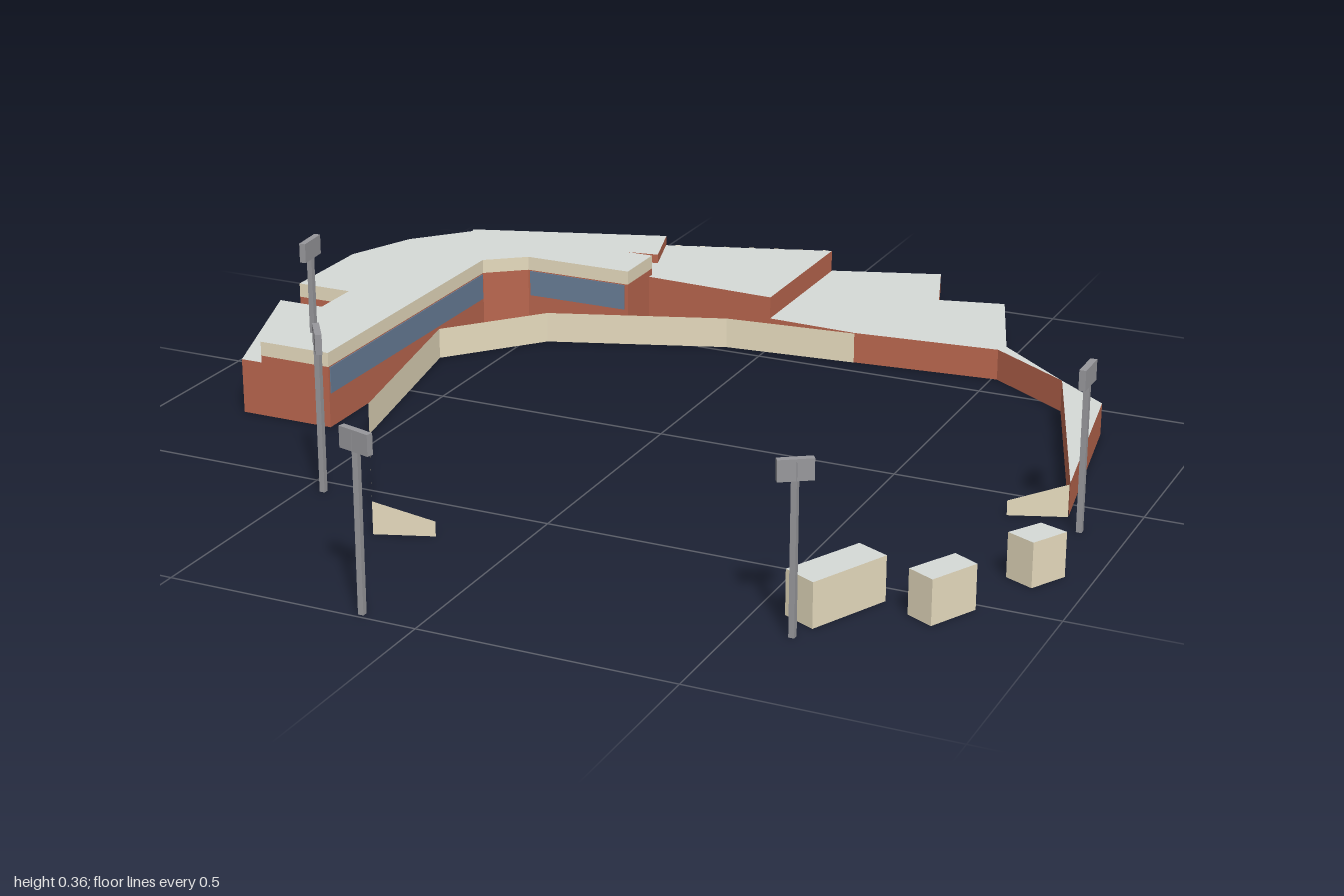
import * as THREE from 'three';

const paint = (name, color, side = THREE.FrontSide) =>
  Object.assign(new THREE.MeshStandardMaterial({ color }), { name, side });

export function createModel() {
  const model = new THREE.Group();
  model.name = 'sportsGround';
  const brick = paint('brick', 0xb9664e, THREE.DoubleSide);
  const cream = paint('cream', 0xe6dbbe, THREE.DoubleSide);
  const roof = paint('roofGrey', 0xd6dad7, THREE.DoubleSide);
  const glass = paint('glassBlue', 0x687d97);
  const metal = paint('metalGrey', 0x98989c);

  const add = (name, geometry, material, parent = model) => {
    const mesh = new THREE.Mesh(geometry, material);
    mesh.name = name;
    parent.add(mesh);
    return mesh;
  };
  const group = (name) => {
    const g = new THREE.Group();
    g.name = name;
    model.add(g);
    return g;
  };

  // Thin standing wall through [x, z, top] points
  const wall = (name, points, y0, material, parent = model) => {
    const pos = [], index = [];
    points.forEach(([x, z, top], i) => {
      pos.push(x, y0, z, x, top, z);
      if (i) index.push(2 * i - 2, 2 * i, 2 * i - 1, 2 * i, 2 * i + 1, 2 * i - 1);
    });
    const geometry = new THREE.BufferGeometry();
    geometry.setAttribute('position', new THREE.Float32BufferAttribute(pos, 3));
    geometry.setIndex(index);
    const flat = geometry.toNonIndexed();
    flat.computeVertexNormals();
    add(name, flat, material, parent);
  };

  // Open-bottomed shell over a plan outline of [x, z] points
  const shell = (name, plan, y0, y1, material, roofed = true) => {
    const parent = group(name);
    wall('walls', [...plan, plan[0]].map(([x, z]) => [x, z, y1]), y0, material, parent);
    if (!roofed) return;
    const shape = new THREE.Shape(plan.map(([x, z]) => new THREE.Vector2(x, -z)));
    add('roof', new THREE.ShapeGeometry(shape).rotateX(-Math.PI / 2).translate(0, y1, 0), roof, parent);
  };

  // Box running along the plan line a-b
  const panel = (name, a, b, y0, y1, thick, material, parent = model) => {
    const dx = b[0] - a[0], dz = b[1] - a[1];
    const mesh = add(name, new THREE.BoxGeometry(Math.hypot(dx, dz), y1 - y0, thick), material, parent);
    mesh.position.set((a[0] + b[0]) / 2, (y0 + y1) / 2, (a[1] + b[1]) / 2);
    mesh.rotation.y = Math.atan2(-dz, dx);
  };

  // West block: brick storey with a cream roof band
  const west = [[-0.9, -0.32], [-0.84, -0.467], [-0.73, -0.59], [-0.297, -0.59], [-0.297, -0.467],
    [-0.54, -0.467], [-0.62, -0.405], [-0.62, 0.25], [-0.778, 0.25], [-0.778, -0.098], [-0.9, -0.098]];
  shell('westBlock', west, 0, 0.13, brick, false);
  shell('westRoofBand', west, 0.13, 0.16, cream);
  shell('westAnnex', [[-0.95, -0.098], [-0.778, -0.098], [-0.778, 0.25], [-0.825, 0.25]], 0, 0.115, brick);
  panel('innerWindow', [-0.62, 0.245], [-0.62, -0.4], 0.072, 0.128, 0.004, glass);
  panel('frontWindow', [-0.535, -0.467], [-0.305, -0.467], 0.072, 0.128, 0.004, glass);
  panel('outerWindow', [-0.9, -0.31], [-0.9, -0.11], 0.072, 0.128, 0.004, glass);

  // North hall, its raised roof slab and the lower east hall
  shell('northHall', [[-0.775, -0.655], [0, -0.917], [0, -0.56], [-0.3, -0.576], [-0.76, -0.598]], 0, 0.115, brick);
  shell('raisedRoof', [[-0.782, -0.66], [-0.36, -0.802], [-0.32, -0.67], [-0.765, -0.598]], 0.115, 0.135, brick);
  shell('eastHall', [[0, -0.92], [0.233, -1], [0.29, -0.83], [0.43, -0.865], [0.522, -0.605],
    [0.512, -0.58], [0.2, -0.55], [0, -0.56]], 0, 0.067, brick);

  // Rear front: bays of glass between cream posts and brick piers
  const facade = group('rearFront');
  const at = (t) => [-0.775 + 0.775 * t, -0.657 - 0.26 * t];
  const bays = 14, step = 0.96 / bays;
  panel('sillRail', at(0.02), at(0.98), 0.03, 0.036, 0.01, cream, facade);
  for (let i = 0; i <= bays; i++) {
    const t = 0.015 + step * i;
    panel('post', at(t), at(t + 0.013), 0, 0.113, 0.018, cream, facade);
    if (i < bays) panel('pane', at(t + 0.013), at(t + step - 0.012), 0.036, 0.1, 0.006, glass, facade);
  }

  // Tapering brick wing curving round the east side
  shell('eastWingLink', [[0.512, -0.58], [0.522, -0.605], [0.69, -0.46]], 0, 0.067, brick);
  shell('eastWing', [[0.69, -0.46], [0.802, -0.37], [0.87, 0.055]], 0, 0.067, brick);

  // Low cream field walls with sloping ends
  wall('fieldWall', [[-0.16, 0.64, 0.03], [-0.27, 0.68, 0.066], [-0.53, 0.25, 0.066], [-0.618, -0.2, 0.066],
    [-0.455, -0.39, 0.066], [-0.086, -0.522, 0.066], [0.2, -0.549, 0.066]], 0, cream);
  wall('eastWallEnd', [[0.87, 0.06, 0.066], [0.763, 0.1, 0.03]], 0, cream);

  // Detached sheds
  [
    [[0.63, 0.523], [0.693, 0.553], [0.619, 0.712], [0.555, 0.68]],
    [[0.798, 0.493], [0.848, 0.52], [0.8, 0.615], [0.747, 0.588]],
    [[0.892, 0.302], [0.947, 0.322], [0.908, 0.393], [0.852, 0.367]],
  ].forEach((plan) => shell('shed', plan, 0, 0.088, cream));

  // Floodlights: x, z, base, top, half-length of the head in x and z
  [
    [-0.71, 0.156, 0.16, 0.36, 0.003, 0.034],
    [-0.46, 0.542, 0, 0.33, 0.02, 0.028],
    [-0.113, 0.986, 0, 0.345, 0.033, 0.009],
    [0.6, 0.755, 0, 0.33, 0.027, -0.018],
    [0.91, 0.116, 0, 0.33, 0, 0.034],
  ].forEach(([x, z, base, top, hx, hz]) => {
    const light = group('floodlight');
    const pole = add('pole', new THREE.BoxGeometry(0.011, top - base - 0.005, 0.011), metal, light);
    pole.position.set(x, (top + base - 0.005) / 2, z);
    panel('lampHead', [x - hx, z - hz], [x + hx, z + hz], top - 0.04, top, 0.013, metal, light);
  });

  return model;
}
